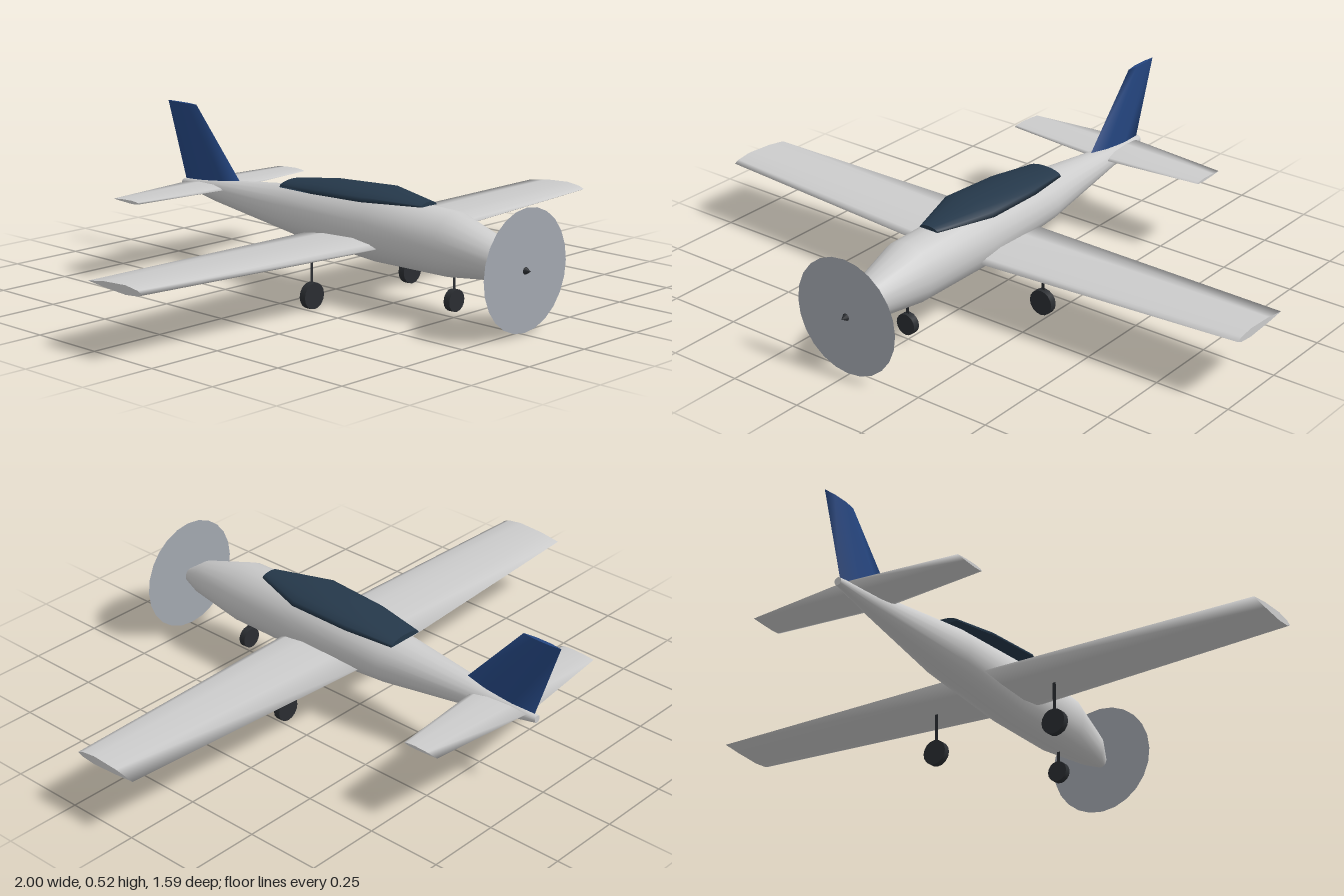
import * as THREE from 'three';

const mat = (color, side = THREE.FrontSide) => new THREE.MeshStandardMaterial({ color, side });
const body = mat(0xcccccc);
const blue = mat(0x24457f);
const glass = mat(0x25384a);
const dark = mat(0x2a2d31);
const darkSheet = mat(0x2a2d31, THREE.DoubleSide);
const discGrey = mat(0xa3a8b0, THREE.DoubleSide);

// Skin between rings of [x, y, z] points, smooth along the sides, flat end caps.
// Rings run counter-clockwise as seen from outside the first ring.
function loft(rings) {
  const n = rings[0].length;
  const pos = rings.flat(2);
  const index = [];
  for (let i = 0; i < rings.length - 1; i++) {
    for (let j = 0; j < n; j++) {
      const k = (j + 1) % n;
      const a = i * n + j, b = i * n + k, c = b + n, d = a + n;
      index.push(a, d, b, b, d, c);
    }
  }
  const addCap = (ring, flip) => {
    const s = pos.length / 3;
    pos.push(...ring.flat());
    for (let j = 1; j < n - 1; j++) {
      if (flip) index.push(s, s + j + 1, s + j);
      else index.push(s, s + j, s + j + 1);
    }
  };
  addCap(rings[0], false);
  addCap(rings[rings.length - 1], true);
  const g = new THREE.BufferGeometry();
  g.setAttribute('position', new THREE.Float32BufferAttribute(pos, 3));
  g.setIndex(index);
  g.computeVertexNormals();
  return g;
}

// Airfoil outline: [fraction of chord, height / chord], nose over the top and back below
const AIRFOIL = [[0, 0], [0.08, 0.035], [0.3, 0.065], [0.7, 0.045],
  [1, 0], [0.7, -0.03], [0.3, -0.055], [0.08, -0.035]];

// Tapered surface across the full span; root and tip are { lead, trail, y }
function wingGeometry(halfSpan, root, tip, thickness) {
  const section = (x, s) => {
    const chord = s.lead - s.trail;
    return AIRFOIL.map(([t, h]) => [x, s.y + h * chord * thickness, s.lead - t * chord]);
  };
  return loft([section(-halfSpan, tip), section(0, root), section(halfSpan, tip)]);
}

export function createModel() {
  const plane = new THREE.Group();
  plane.name = 'airplane';
  const add = (name, geometry, material, x = 0, y = 0, z = 0) => {
    const m = new THREE.Mesh(geometry, material);
    m.name = name;
    m.position.set(x, y, z);
    plane.add(m);
    return m;
  };

  // Fuselage: z, half width, bottom, top
  const stations = [
    [0.775, 0.022, 0.166, 0.215], [0.7, 0.058, 0.15, 0.268], [0.5, 0.1, 0.128, 0.33],
    [0.2, 0.1, 0.125, 0.338], [-0.15, 0.09, 0.153, 0.32],
    [-0.55, 0.034, 0.205, 0.278], [-0.715, 0.012, 0.235, 0.26]];
  add('fuselage', loft(stations.map(([z, w, lo, hi]) =>
    Array.from({ length: 20 }, (_, i) => {
      const a = (i / 20) * Math.PI * 2;
      return [w * Math.cos(a), (lo + hi) / 2 + ((hi - lo) / 2) * Math.sin(a), z];
    }))), body);

  // Canopy: z, half width, base, top
  const hood = [[0.395, 0.035, 0.332, 0.345], [0.2, 0.1, 0.33, 0.367],
    [-0.02, 0.092, 0.322, 0.357], [-0.19, 0.065, 0.315, 0.335]];
  add('canopy', loft(hood.map(([z, w, lo, hi]) =>
    Array.from({ length: 9 }, (_, i) => {
      const a = (i / 8) * Math.PI;
      return [w * Math.cos(a), lo + (hi - lo) * Math.sin(a), z];
    }))), glass);

  // Main wing and tailplane
  add('wing', wingGeometry(1,
    { lead: 0.265, trail: -0.065, y: 0.188 }, { lead: 0.215, trail: -0.02, y: 0.207 }, 1), body);
  add('tailplane', wingGeometry(0.375,
    { lead: -0.48, trail: -0.685, y: 0.257 }, { lead: -0.515, trail: -0.642, y: 0.258 }, 0.7), body);

  // Fin: swept sections from base to top
  const finSection = (lead, trail, yLead, yTrail, w) =>
    [[0, 1], [1, 0.7], [1, 0.3], [0, 0], [-1, 0.3], [-1, 0.7]].reverse().map(([s, f]) =>
      [s * w, THREE.MathUtils.lerp(yTrail, yLead, f), THREE.MathUtils.lerp(trail, lead, f)]);
  add('fin', loft([
    finSection(-0.44, -0.705, 0.285, 0.262, 0.01),
    finSection(-0.65, -0.79, 0.52, 0.52, 0.006)]), blue);

  // Spinning propeller disc and spinner
  add('propellerDisc', new THREE.CircleGeometry(0.19, 24), discGrey, 0, 0.195, 0.777);
  add('spinner', new THREE.ConeGeometry(0.018, 0.03, 12), dark, 0, 0.195, 0.782)
    .rotation.x = Math.PI / 2;

  // Landing gear: x, z, wheel radius, wheel centre height, top of the leg
  const gear = [['noseGear', 0, 0.5, 0.035, 0.055, 0.14],
    ['leftGear', 0.225, 0.115, 0.042, 0.042, 0.182],
    ['rightGear', -0.225, 0.115, 0.042, 0.042, 0.182]];
  for (const [name, x, z, r, y, top] of gear) {
    add(name + 'Wheel', new THREE.CylinderGeometry(r, r, 0.023, 16), dark, x, y, z)
      .rotation.x = Math.PI / 2;
    add(name + 'Leg', new THREE.PlaneGeometry(0.012, top - y), darkSheet, x, (top + y) / 2, z);
  }

  return plane;
}
